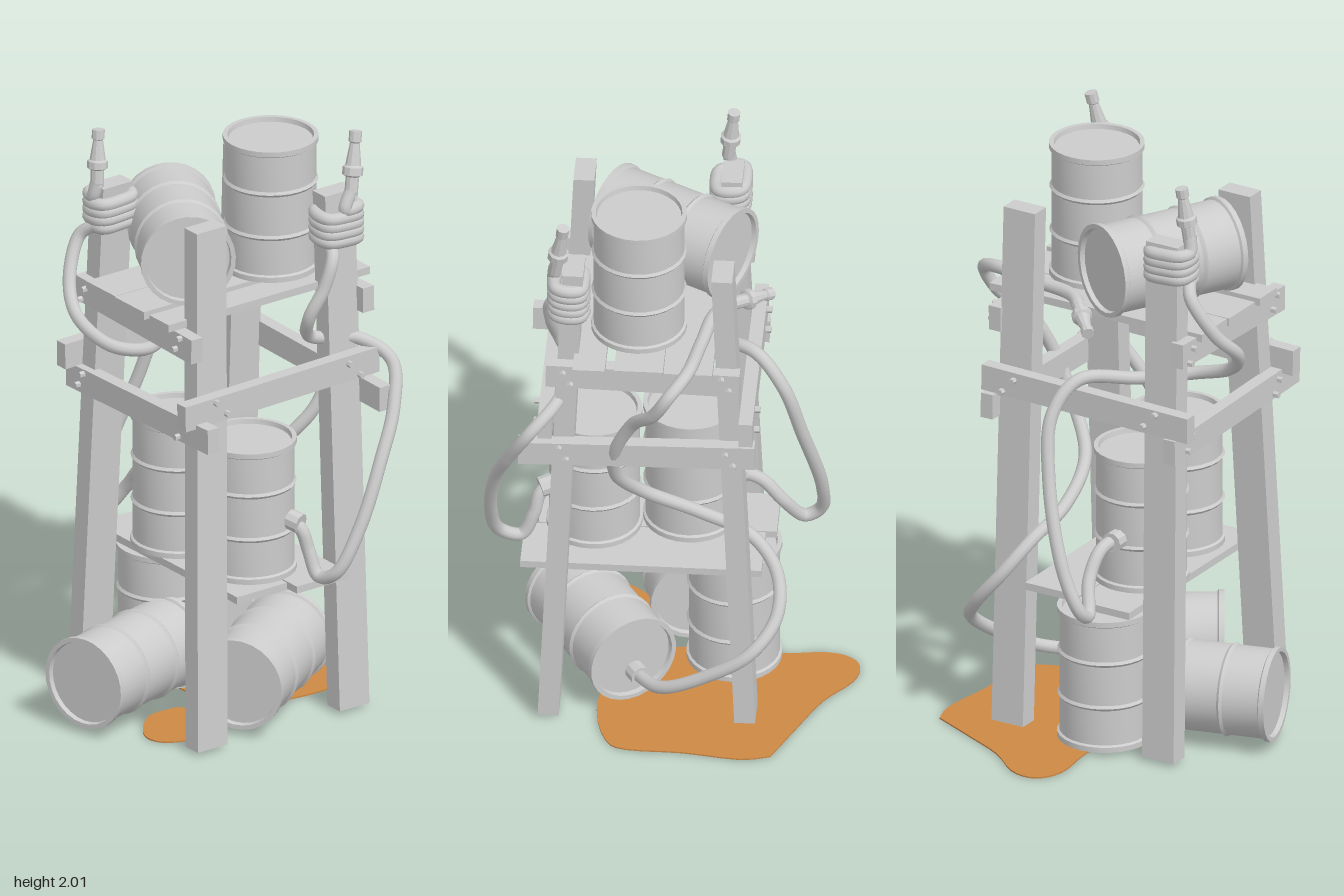
import * as THREE from 'three';
import { toCreasedNormals } from 'three/addons/utils/BufferGeometryUtils.js';

const V = (x, y, z) => new THREE.Vector3(x, y, z);
const UP = V(0, 1, 0);
const grey = new THREE.MeshStandardMaterial({ color: 0xcccccc });
const hoseGrey = new THREE.MeshStandardMaterial({ color: 0xcccccc, side: THREE.DoubleSide });
const oil = new THREE.MeshStandardMaterial({ color: 0xcc8844, side: THREE.DoubleSide });

export function createModel() {
  const model = new THREE.Group();

  function add(name, geo, pos = V(0, 0, 0), dir = null, mat = grey, parent = model) {
    const mesh = new THREE.Mesh(geo, mat);
    mesh.name = name;
    mesh.position.copy(pos);
    if (dir) mesh.quaternion.setFromUnitVectors(UP, dir.clone().normalize());
    parent.add(mesh);
    return mesh;
  }
  // Box given by its limits on each axis
  const slab = (name, x0, x1, y0, y1, z0, z1) =>
    add(name, new THREE.BoxGeometry(x1 - x0, y1 - y0, z1 - z0),
      V((x0 + x1) / 2, (y0 + y1) / 2, (z0 + z1) / 2));

  // Leaning legs: boxes sheared between a foot and a top point
  const LEG_TOP = 1.8, FOOT = 0.012;
  const legs = [
    { name: 'frontLeftLeg', foot: [0.385, 0.285], top: [0.305, 0.23] },
    { name: 'frontRightLeg', foot: [-0.255, 0.285], top: [-0.175, 0.25] },
    { name: 'backLeftLeg', foot: [0.385, -0.29], top: [0.305, -0.29] },
    { name: 'backRightLeg', foot: [-0.255, -0.29], top: [-0.18, -0.29] },
  ];
  for (const { name, foot, top } of legs) {
    const geo = new THREE.BoxGeometry(0.068, LEG_TOP - FOOT, 0.12);
    const p = geo.attributes.position;
    for (let i = 0; i < p.count; i++) {
      const end = p.getY(i) > 0 ? top : foot;
      p.setXYZ(i, p.getX(i) + end[0], p.getY(i) > 0 ? LEG_TOP : FOOT, p.getZ(i) + end[1]);
    }
    geo.computeVertexNormals();
    add(name, geo);
  }

  // Cross braces with a pair of bolts at each leg
  const boltGeo = toCreasedNormals(new THREE.CylinderGeometry(0.011, 0.011, 0.022, 6), 0.5);
  function bolts(points, dir) {
    for (const pt of points) add('bolt', boltGeo, pt, dir);
  }
  function faceBrace(name, x0, x1, y, side, tilt) {
    const z = side * 0.328;
    const zc = side > 0 ? z : z - 0.04;
    const brace = add(name, new THREE.BoxGeometry(x1 - x0, 0.085, 0.045), V((x0 + x1) / 2, y, zc));
    brace.rotation.z = tilt;
    const k = y / LEG_TOP;
    for (const lx of [-0.255 + 0.078 * k, 0.385 - 0.08 * k])
      bolts([-1, 1].map(s => V(lx + s * 0.012, y + s * 0.022, zc + side * 0.03)), V(0, 0, side));
  }
  faceBrace('frontUpperBrace', -0.24, 0.39, 1.425, 1, -0.03);
  faceBrace('frontLowerBrace', -0.29, 0.48, 1.12, 1, 0.02);
  faceBrace('backUpperBrace', -0.24, 0.39, 1.415, -1, 0.02);
  faceBrace('backLowerBrace', -0.29, 0.48, 1.11, -1, -0.02);
  for (const [name, x, side] of [['leftSideBrace', 0.393, 1], ['rightSideBrace', -0.26, -1]]) {
    const brace = add(name, new THREE.BoxGeometry(0.045, 0.088, 0.785), V(x, 1.205, 0));
    brace.rotation.x = 0.02;
    for (const z of [0.25, -0.29])
      bolts([-1, 1].map(s => V(x + side * 0.03, 1.205 + s * 0.024, z + s * 0.022)), V(side, 0, 0));
  }

  // Upper platform planks and middle shelf
  slab('platformPlank', -0.155, 0.002, 1.462, 1.488, -0.44, 0.37);
  slab('platformPlank', 0.006, 0.165, 1.46, 1.488, -0.435, 0.375);
  slab('platformPlank', 0.195, 0.3, 1.462, 1.488, -0.44, 0.375);
  slab('shelfPlank', -0.335, 0.44, 0.507, 0.532, 0, 0.203);
  slab('shelfPlank', -0.3, 0.485, 0.507, 0.532, -0.215, -0.006);
  slab('shelfBatten', -0.2, 0.36, 0.485, 0.507, 0.05, 0.09);

  // Barrels: ribbed drum with recessed lids
  const half = [[0.148, 0.068], [0.155, 0.077], [0.148, 0.086], [0.148, 0.207], [0.156, 0.212],
    [0.156, 0.23], [0.141, 0.23], [0.138, 0.214], [0, 0.214]];
  const profile = [...half.map(([r, y]) => [r, -y]).reverse(), ...half]
    .map(([r, y]) => new THREE.Vector2(r, y));
  const barrelGeo = toCreasedNormals(new THREE.LatheGeometry(profile, 28), 0.6);
  const barrels = [
    ['topBarrel', V(0.1, 1.722, -0.188), UP],
    ['tippedTopBarrel', V(0.01, 1.647, 0.12), V(0.88, 0, 0.475)],
    ['shelfBarrel', V(-0.05, 0.764, 0.075), UP],
    ['shelfBarrel', V(0.26, 0.764, 0.02), UP],
    ['standingGroundBarrel', V(-0.195, 0.242, 0.025), UP],
    ['frontLyingBarrel', V(-0.013, 0.178, 0.31), V(0.26, 0, 0.965)],
    ['sideLyingBarrel', V(0.235, 0.178, -0.055), V(0.53, 0, 0.85)],
  ];
  for (const [name, pos, dir] of barrels) add(name, barrelGeo, pos, dir);

  // Hoses
  const HOSE_R = 0.022;
  function hose(name, pts) {
    const curve = new THREE.CatmullRomCurve3(pts);
    add(name, new THREE.TubeGeometry(curve, pts.length * 8, HOSE_R, 10), V(0, 0, 0), null, hoseGrey);
  }
  // Coil of squarish turns going down round a leg top
  function coil(cx, cz, yTop, turns, start, spin) {
    const pts = [];
    for (let i = 0; i <= turns * 8; i++) {
      const a = start + spin * i * Math.PI / 4;
      const sq = v => Math.sign(v) * Math.pow(Math.abs(v), 0.6);
      pts.push(V(cx + 0.048 * sq(Math.cos(a)), yTop - i * 0.027 / 8, cz + 0.07 * sq(Math.sin(a))));
    }
    return pts;
  }
  // Spray nozzle from base to tip
  const nozzleProfile = [[0.022, 0], [0.022, 0.3], [0.034, 0.33], [0.034, 0.45], [0.026, 0.48],
    [0.016, 0.82], [0.021, 0.84], [0.021, 1], [0, 1]];
  function nozzle(base, tip) {
    const dir = tip.clone().sub(base), len = dir.length();
    const geo = new THREE.LatheGeometry(nozzleProfile.map(([r, t]) => new THREE.Vector2(r, t * len)), 10);
    add('nozzle', toCreasedNormals(geo, 0.6), base, dir);
  }
  const fittingGeo = toCreasedNormals(new THREE.CylinderGeometry(0.034, 0.034, 0.045, 10), 0.6);
  const fitting = (pos, dir) => add('hoseFitting', fittingGeo, pos, dir);

  // Front hose: coiled on a leg, under the platform, out to a shelf barrel
  nozzle(V(-0.155, 1.81, 0.325), V(-0.175, 2, 0.305));
  hose('frontHose', [
    V(-0.155, 1.83, 0.325), ...coil(-0.168, 0.262, 1.775, 4, Math.PI / 2, 1),
    V(-0.205, 1.63, 0.36), V(-0.165, 1.5, 0.43), V(-0.08, 1.41, 0.46), V(-0.01, 1.32, 0.39),
    V(0, 1.27, 0.25), V(-0.1, 1.255, 0.1), V(-0.27, 1.28, -0.03), V(-0.36, 1.18, -0.075),
    V(-0.42, 0.98, -0.05), V(-0.48, 0.7, 0.04), V(-0.47, 0.56, 0.1), V(-0.42, 0.53, 0.1),
    V(-0.35, 0.62, 0.06), V(-0.28, 0.7, 0.06), V(-0.19, 0.72, 0.075)]);
  fitting(V(-0.215, 0.715, 0.075), V(-1, 0, 0));

  // Back hose: coiled on the opposite leg, looping out to the other shelf barrel
  nozzle(V(0.365, 1.79, -0.315), V(0.335, 2, -0.357));
  hose('backHose', [
    V(0.365, 1.81, -0.315), ...coil(0.322, -0.288, 1.75, 4.5, 0, -1),
    V(0.38, 1.6, -0.23), V(0.385, 1.5, -0.19), V(0.36, 1.4, -0.15), V(0.31, 1.31, -0.19),
    V(0.36, 1.28, -0.35), V(0.44, 1.21, -0.425), V(0.51, 1.08, -0.38), V(0.56, 0.93, -0.29),
    V(0.583, 0.73, -0.19), V(0.56, 0.58, -0.11), V(0.49, 0.55, -0.09), V(0.45, 0.63, -0.08),
    V(0.43, 0.7, -0.065), V(0.38, 0.74, -0.04)]);
  fitting(V(0.41, 0.725, -0.055), V(0.9, -0.2, -0.35));

  // Long hose: over the platform, down the back and into a lying barrel
  nozzle(V(-0.2, 1.512, -0.075), V(-0.315, 1.475, 0.035));
  hose('longHose', [
    V(-0.22, 1.507, -0.055), V(-0.15, 1.515, -0.13), V(-0.11, 1.512, -0.3), V(-0.075, 1.512, -0.47),
    V(-0.02, 1.47, -0.545), V(0.03, 1.38, -0.525), V(0.1, 1.28, -0.44), V(0.165, 1.12, -0.38),
    V(0.165, 0.98, -0.32), V(0.08, 0.84, -0.22), V(-0.1, 0.74, -0.185), V(-0.27, 0.67, -0.21),
    V(-0.355, 0.57, -0.27), V(-0.36, 0.46, -0.36), V(-0.28, 0.36, -0.435), V(-0.13, 0.25, -0.425),
    V(0.02, 0.16, -0.37), V(0.115, 0.13, -0.25)]);
  fitting(V(0.1, 0.135, -0.265), V(-0.53, 0, -0.85));

  // Oil puddles: thin spline-edged sheets
  function puddle(name, outline) {
    const pts = outline.map(([x, z]) => new THREE.Vector2(x, -z));
    const shape = new THREE.Shape();
    shape.setFromPoints(new THREE.SplineCurve([...pts, pts[0]]).getPoints(48));
    const geo = new THREE.ExtrudeGeometry(shape, { depth: 0.005, bevelEnabled: false });
    geo.rotateX(-Math.PI / 2);
    add(name, geo, V(0, 0, 0), null, oil);
  }
  puddle('largePuddle', [[-0.35, -0.51], [-0.25, -0.533], [-0.06, -0.51], [0.12, -0.505], [0.19, -0.46],
    [0.23, -0.3], [0.2, -0.1], [0.08, 0.03], [-0.1, 0.06], [-0.34, 0.045], [-0.49, 0.06], [-0.57, 0.04],
    [-0.607, -0.01], [-0.59, -0.09], [-0.5, -0.2], [-0.43, -0.34]]);
  puddle('smallPuddle', [[0.06, 0.16], [0.15, 0.11], [0.27, 0.16], [0.3, 0.27], [0.27, 0.36],
    [0.21, 0.39], [0.14, 0.36], [0.06, 0.27]]);

  return model;
}
